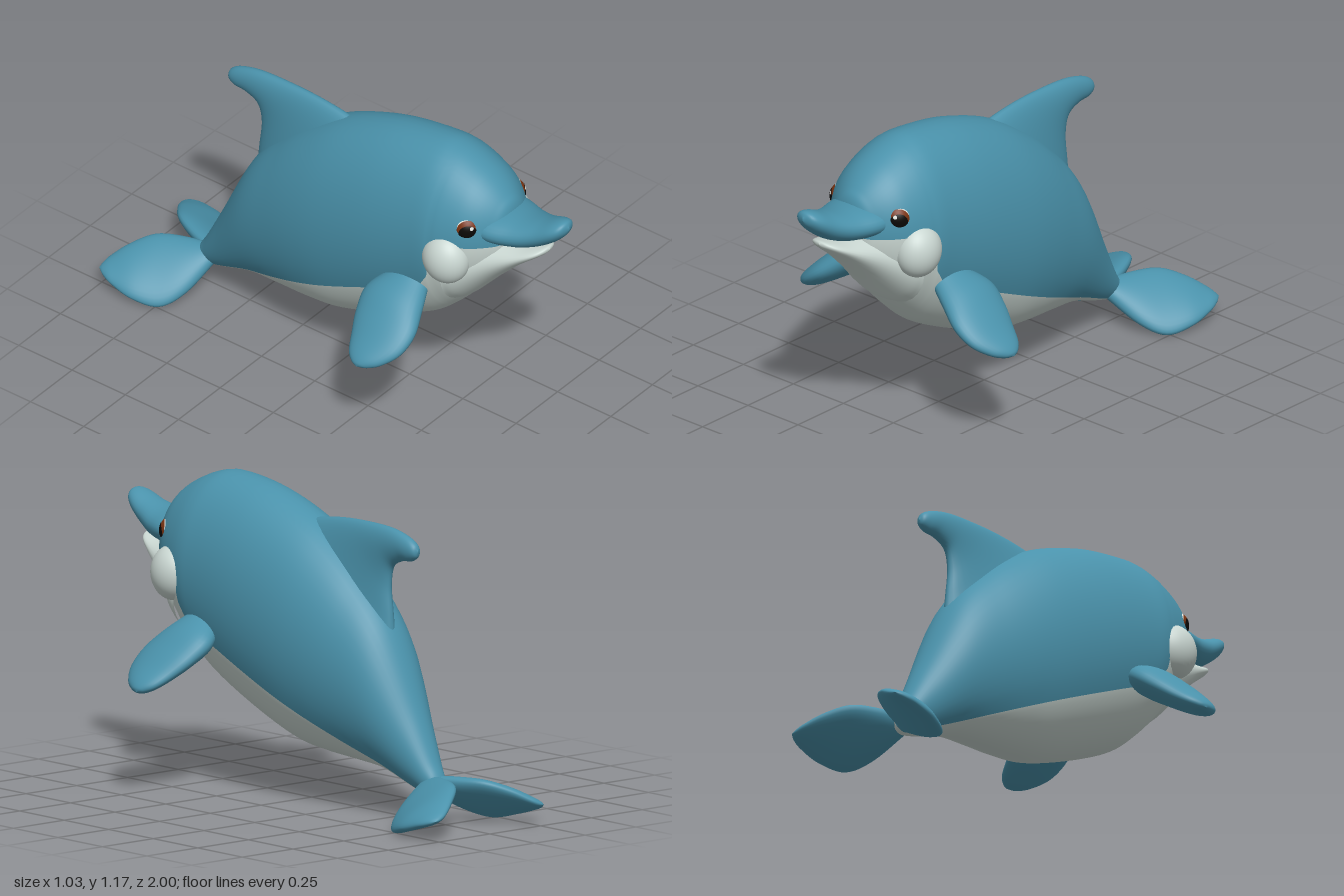
import * as THREE from 'three';

const mat = (name, color) => {
  const m = new THREE.MeshStandardMaterial({ color });
  m.name = name;
  return m;
};

// Smooth loft through sections [centre, halfAxisU, halfAxisV].
// split(centre, v) gives the angle where the upper group meets the lower group.
function loft(sections, steps = 6, sides = 32, split = null) {
  const curves = [0, 1, 2].map(k => new THREE.CatmullRomCurve3(
    sections.map(s => new THREE.Vector3(...s[k])), false, 'catmullrom', 0.5));
  const rows = (sections.length - 1) * steps, half = sides / 2;
  const pos = [], upper = [], lower = [];
  for (let i = 0; i <= rows; i++) {
    const [c, u, v] = curves.map(q => q.getPoint(i / rows));
    const b = split ? split(c, v) : 0;
    for (let j = 0; j < sides; j++) {
      const a = j < half
        ? b + (Math.PI - 2 * b) * j / half
        : Math.PI - b + (Math.PI + 2 * b) * (j - half) / half;
      const p = c.clone().addScaledVector(u, Math.cos(a)).addScaledVector(v, Math.sin(a));
      pos.push(p.x, p.y, p.z);
    }
  }
  // Face direction follows the handedness of the middle section
  const [c, u, v] = curves.map(q => q.getPoint(0.5));
  const flip = u.clone().cross(v).dot(curves[0].getPoint(0.55).sub(c)) < 0;
  for (let i = 0; i < rows; i++) {
    for (let j = 0; j < sides; j++) {
      const k = (j + 1) % sides;
      const A = i * sides + j, B = i * sides + k, C = B + sides, D = A + sides;
      (j < half ? upper : lower).push(...(flip ? [A, D, B, B, D, C] : [A, B, D, B, C, D]));
    }
  }
  const g = new THREE.BufferGeometry();
  g.setAttribute('position', new THREE.Float32BufferAttribute(pos, 3));
  g.setIndex([...upper, ...lower]);
  if (split) {
    g.addGroup(0, upper.length, 0);
    g.addGroup(upper.length, lower.length, 1);
  }
  g.computeVertexNormals();
  return g;
}

// Upright section from [z, top, bottom, halfWidth]
const upright = ([z, top, bottom, w]) =>
  [[0, (top + bottom) / 2, z], [w, 0, 0], [0, (top - bottom) / 2, 0]];

// Height of the colour border along the flank
const border = [[-0.75, 0.08], [-0.65, 0.12], [0.27, 0.54], [0.45, 0.62], [0.5, 0.7], [0.53, 0.87], [0.9, 0.87]];
function borderY(z) {
  for (let i = 1; i < border.length; i++) {
    const [z0, y0] = border[i - 1], [z1, y1] = border[i];
    if (z <= z1) return THREE.MathUtils.lerp(y0, y1, Math.max(0, (z - z0) / (z1 - z0)));
  }
  return 0.87;
}

export function createModel() {
  const root = new THREE.Group();
  root.name = 'dolphin';
  const blue = mat('skinBlue', 0x4a92ab);
  const pale = mat('bellyPale', 0xc9d6d1);
  const brown = mat('irisBrown', 0x7a3412);
  const black = mat('pupilBlack', 0x0c0906);
  const white = mat('eyeWhite', 0xe6e8e2);
  const add = (name, geo, material, parent = root) => {
    const m = new THREE.Mesh(geo, material);
    m.name = name;
    parent.add(m);
    return m;
  };

  // Body with blue back and pale belly
  const body = [
    [-0.73, 0.16, 0.14, 0], [-0.715, 0.19, 0.115, 0.035], [-0.68, 0.25, 0.105, 0.052],
    [-0.6, 0.41, 0.125, 0.085], [-0.45, 0.71, 0.175, 0.148], [-0.3, 0.88, 0.19, 0.19],
    [-0.15, 1.0, 0.2, 0.222], [0, 1.083, 0.222, 0.24], [0.2, 1.15, 0.295, 0.247],
    [0.4, 1.18, 0.39, 0.242], [0.5, 1.17, 0.47, 0.235], [0.6, 1.13, 0.575, 0.205],
    [0.66, 1.092, 0.645, 0.172], [0.71, 1.045, 0.705, 0.125], [0.74, 1.0, 0.75, 0.08],
    [0.755, 0.9, 0.86, 0],
  ].map(upright);
  add('body', loft(body, 8, 64, (c, v) => {
    const s = (borderY(c.z) - c.y) / Math.max(v.y, 1e-4);
    return Math.asin(THREE.MathUtils.clamp(s, -0.97, 0.97));
  }), [blue, pale]);

  // Upturned beak and lower jaw
  add('beak', loft([
    [0.58, 0.99, 0.865, 0.13], [0.7, 0.99, 0.86, 0.137], [0.8, 0.992, 0.868, 0.108],
    [0.88, 1.01, 0.897, 0.08], [0.95, 1.037, 0.945, 0.062], [0.985, 1.04, 0.982, 0.04],
    [1.0, 1.02, 1.01, 0],
  ].map(upright)), blue);
  add('lowerJaw', loft([
    [0.55, 0.87, 0.53, 0.2], [0.6, 0.875, 0.572, 0.19], [0.7, 0.875, 0.682, 0.14],
    [0.8, 0.875, 0.782, 0.1], [0.87, 0.887, 0.84, 0.068], [0.9, 0.892, 0.865, 0.035],
    [0.91, 0.885, 0.88, 0],
  ].map(upright)), pale);

  // Dorsal fin: [leading z, y, trailing z, y, half thickness]
  const fin = [
    [0.12, 1.03, -0.46, 0.66, 0.075], [-0.05, 1.07, -0.45, 0.76, 0.055],
    [-0.2, 1.088, -0.44, 0.86, 0.043], [-0.35, 1.09, -0.455, 0.935, 0.037],
    [-0.46, 1.083, -0.51, 0.966, 0.033], [-0.54, 1.063, -0.56, 0.972, 0.029],
    [-0.582, 1.04, -0.588, 0.988, 0.02], [-0.597, 1.015, -0.597, 1.01, 0],
  ].map(([lz, ly, tz, ty, w]) => [
    [0, (ly + ty) / 2, (lz + tz) / 2], [0, (ly - ty) / 2, (lz - tz) / 2], [w, 0, 0]]);
  add('dorsalFin', loft(fin), blue);

  for (const [side, s] of [['left', 1], ['right', -1]]) {
    // Flipper: [x, y, z, half chord, half thickness]
    const flipper = [
      [0.18, 0.635, 0.4, 0.08, 0.05], [0.27, 0.578, 0.39, 0.127, 0.06],
      [0.35, 0.52, 0.41, 0.135, 0.053], [0.42, 0.468, 0.42, 0.113, 0.042],
      [0.475, 0.432, 0.412, 0.075, 0.03], [0.503, 0.415, 0.405, 0.035, 0.017],
      [0.514, 0.41, 0.4, 0, 0],
    ].map(([x, y, z, h, t]) => [[s * x, y, z], [0, 0, h], [s * 0.6 * t, 0.8 * t, 0]]);
    add(side + 'Flipper', loft(flipper), blue);

    // Tail fluke: [x, y, z, half chord x, y, z, half thickness]
    const fluke = [
      [0.0, 0.15, -0.66, 0.02, -0.02, 0.015, 0.03], [0.09, 0.115, -0.735, 0.07, -0.062, 0.06, 0.042],
      [0.16, 0.095, -0.81, 0.09, -0.08, 0.078, 0.042], [0.22, 0.09, -0.89, 0.075, -0.055, 0.062, 0.034],
      [0.252, 0.086, -0.955, 0.045, -0.025, 0.035, 0.022], [0.262, 0.085, -0.985, 0.022, -0.01, 0.015, 0.012],
      [0.266, 0.085, -1.0, 0, 0, 0, 0],
    ].map(([x, y, z, ux, uy, uz, t]) => [
      [s * x, y, z], [s * ux, uy, uz], [s * 0.36 * t, 0.87 * t, 0.33 * t]]);
    add(side + 'Fluke', loft(fluke), blue);

    // Cheek
    const cheek = add(side + 'Cheek', new THREE.SphereGeometry(1, 32, 24), pale);
    cheek.position.set(s * 0.183, 0.798, 0.565);
    cheek.scale.set(0.083, 0.105, 0.095);

    // Eye: stacked thin caps on a shallow ball
    const eye = new THREE.Group();
    eye.name = side + 'Eye';
    eye.position.set(s * 0.13, 0.942, 0.622);
    eye.rotation.y = s * 0.85;
    root.add(eye);
    const cap = (name, r, angle, material, tilt) => {
      const g = new THREE.SphereGeometry(r, 32, 10, 0, Math.PI * 2, 0, angle);
      add(name, g.rotateX(Math.PI / 2 + tilt), material, eye);
    };
    cap('eyeball', 0.056, 1.5, white, 0);
    cap('iris', 0.0572, 0.82, brown, -0.03);
    cap('pupil', 0.0584, 0.64, black, 0.14);
    const glint = new THREE.SphereGeometry(0.0592, 16, 6, 0, Math.PI * 2, 0, 0.13);
    add('glint', glint.rotateX(Math.PI / 2 - 0.3).rotateY(s * -0.25), white, eye);
  }
  return root;
}
